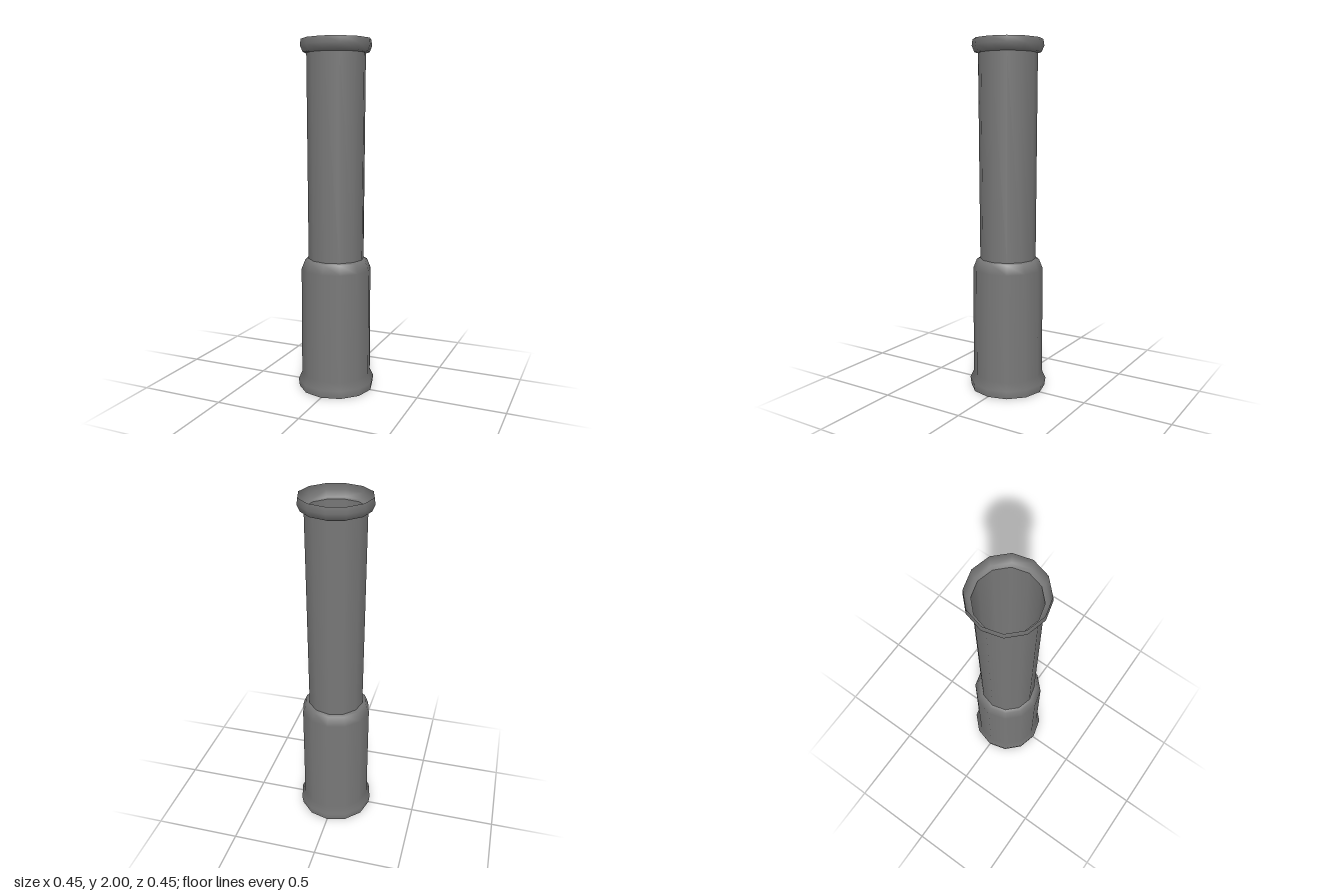
import * as THREE from 'three';

const SIDES = 12;

export function createModel() {
  const group = new THREE.Group();
  const material = new THREE.MeshStandardMaterial({ color: 0x777777, side: THREE.DoubleSide });

  // Turns a profile of [radius, height] points into an open twelve-sided shell.
  function addShell(name, profile) {
    const points = profile.map(([r, y]) => new THREE.Vector2(r, y));
    const mesh = new THREE.Mesh(new THREE.LatheGeometry(points, SIDES), material);
    mesh.name = name;
    group.add(mesh);
  }

  // Wide lower barrel with flared foot and rounded shoulder closing onto the tube
  addShell('lowerBarrel', [
    [0.217, 0], [0.223, 0.045], [0.202, 0.09], [0.201, 0.71], [0.18, 0.763], [0.16, 0.77],
  ]);

  // Narrow upper tube, slightly wider towards the top
  addShell('upperTube', [[0.16, 0.77], [0.166, 1.925]]);

  // Open eyepiece cup at the top
  addShell('eyepieceCup', [[0.166, 1.925], [0.186, 1.93], [0.201, 1.965], [0.196, 2]]);

  return group;
}
